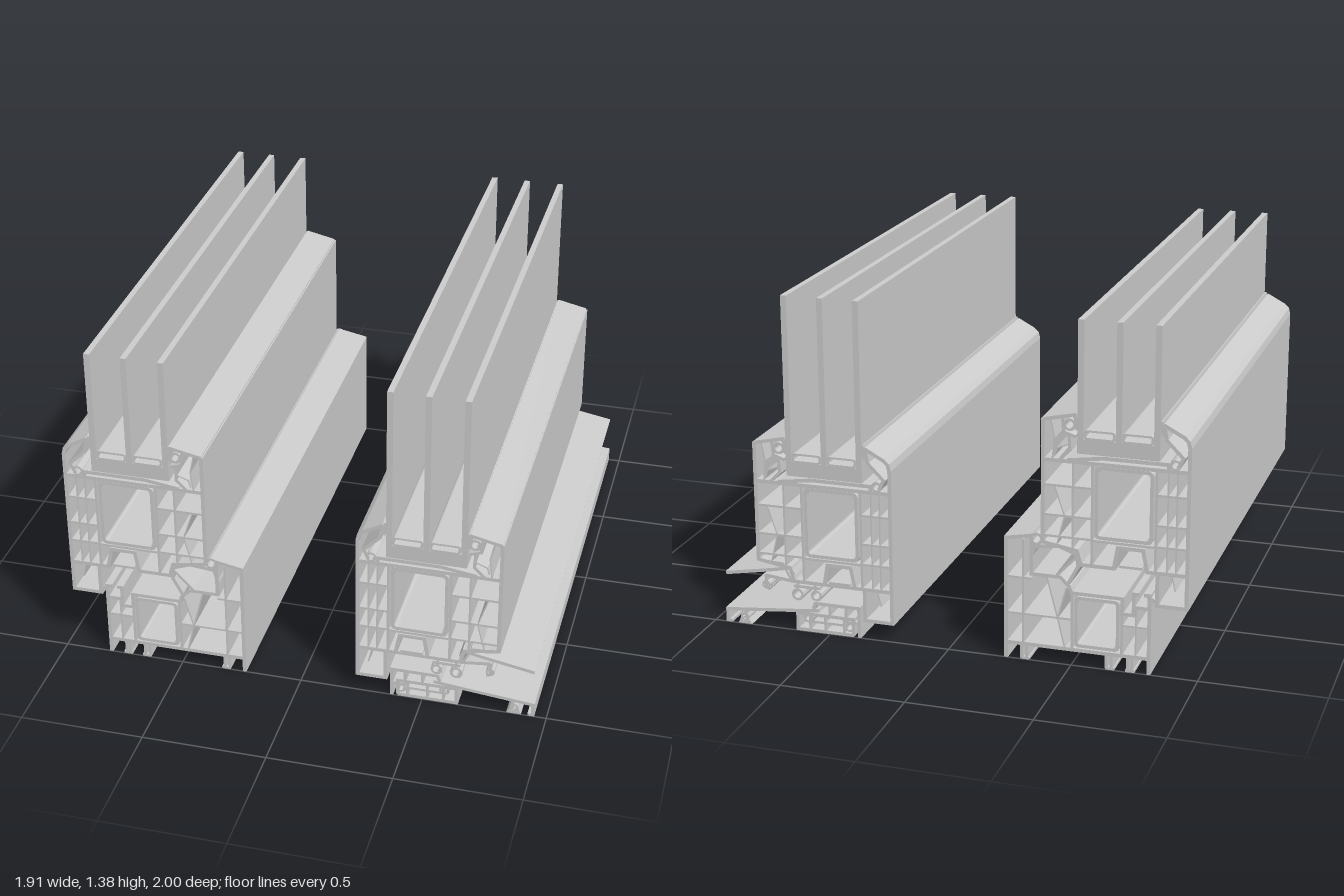
import * as THREE from 'three';

const LENGTH = 2;
const material = new THREE.MeshStandardMaterial({ color: 0xcccccc });
const V = (x, y) => new THREE.Vector2(x, y);

// Flat coordinate list -> points
function toPoints(c) {
  const p = [];
  for (let i = 0; i < c.length; i += 2) p.push(V(c[i], c[i + 1]));
  return p;
}

function extrude(parent, name, shape) {
  const g = new THREE.ExtrudeGeometry(shape, { depth: LENGTH, bevelEnabled: false, curveSegments: 6 });
  g.translate(0, 0, -LENGTH / 2);
  const m = new THREE.Mesh(g, material);
  m.name = name;
  parent.add(m);
}

// Wall of thickness t following an open centre line, with mitred corners
function wall(parent, name, t, coords) {
  const p = toPoints(coords);
  const a = [], b = [];
  p.forEach((q, i) => {
    const d0 = p[Math.max(i, 1)].clone().sub(p[Math.max(i, 1) - 1]).normalize();
    const j = Math.min(i + 1, p.length - 1);
    const d1 = p[j].clone().sub(p[j - 1]).normalize();
    const n0 = V(-d0.y, d0.x), n1 = V(-d1.y, d1.x);
    const n = n0.clone().add(n1).normalize();
    n.multiplyScalar(t / 2 / Math.max(0.5, n.dot(n0)));
    a.push(q.clone().add(n));
    b.push(q.clone().sub(n));
  });
  extrude(parent, name, new THREE.Shape([...a, ...b.reverse()]));
}

const solid = (parent, name, coords) => extrude(parent, name, new THREE.Shape(toPoints(coords)));
const box = (parent, name, x0, x1, y0, y1) => solid(parent, name, [x0, y0, x1, y0, x1, y1, x0, y1]);

function roundRect(path, x0, x1, y0, y1, r) {
  path.moveTo(x0 + r, y0).lineTo(x1 - r, y0).quadraticCurveTo(x1, y0, x1, y0 + r);
  path.lineTo(x1, y1 - r).quadraticCurveTo(x1, y1, x1 - r, y1);
  path.lineTo(x0 + r, y1).quadraticCurveTo(x0, y1, x0, y1 - r);
  path.lineTo(x0, y0 + r).quadraticCurveTo(x0, y0, x0 + r, y0);
  return path;
}

// Hollow rounded rectangular tube
function hollow(parent, name, x0, x1, y0, y1, t, r) {
  const s = roundRect(new THREE.Shape(), x0, x1, y0, y1, r);
  s.holes.push(roundRect(new THREE.Path(), x0 + t, x1 - t, y0 + t, y1 - t, r * 0.6));
  extrude(parent, name, s);
}

// Tubular seal
function tubeSeal(parent, name, x, y, r) {
  const s = new THREE.Shape().absarc(x, y, r, 0, Math.PI * 2);
  s.holes.push(new THREE.Path().absarc(x, y, r * 0.6, 0, Math.PI * 2, true));
  extrude(parent, name, s);
}

// T-shaped clip foot standing on the ground
function foot(parent, x, h) {
  wall(parent, 'clipFoot', 0.012, [x, h, x, 0.005]);
  box(parent, 'clipFoot', x - 0.012, x + 0.024, 0, 0.01);
}

// Sash with triple glazing
function sash(glassTop) {
  const g = new THREE.Group();
  g.name = 'sash';
  // outer walls
  wall(g, 'outerWall', 0.015, [-0.835, 0.42, -0.835, 0.288, -0.949, 0.288, -0.949, 0.925, -0.943, 0.95,
    -0.925, 0.967, -0.9, 0.98, -0.848, 1.008]);
  wall(g, 'innerWall', 0.015, [-0.384, 0.49, -0.384, 0.99]);
  wall(g, 'bottomWall', 0.015, [-0.949, 0.42, -0.795, 0.42, -0.778, 0.505, -0.68, 0.505, -0.665, 0.42,
    -0.535, 0.42, -0.52, 0.475, -0.384, 0.497]);
  wall(g, 'topWall', 0.015, [-0.949, 0.83, -0.384, 0.83]);
  wall(g, 'rebateWall', 0.015, [-0.87, 0.83, -0.87, 0.855, -0.62, 0.855, -0.48, 0.835]);
  wall(g, 'rebateLip', 0.014, [-0.852, 1.0, -0.86, 0.95, -0.925, 0.885, -0.905, 0.845]);
  // glazing bead
  wall(g, 'glazingBead', 0.014, [-0.515, 0.99, -0.505, 1.015, -0.384, 0.988]);
  wall(g, 'glazingBead', 0.012, [-0.51, 0.93, -0.465, 0.945, -0.46, 1.0]);
  wall(g, 'glazingBead', 0.012, [-0.485, 0.94, -0.49, 0.875, -0.45, 0.835]);
  wall(g, 'beadWeb', 0.005, [-0.415, 0.99, -0.43, 0.92, -0.42, 0.83]);
  wall(g, 'beadWeb', 0.005, [-0.49, 0.9, -0.44, 0.88, -0.43, 0.85]);
  tubeSeal(g, 'beadSeal', -0.488, 0.975, 0.025);
  tubeSeal(g, 'rebateSeal', -0.895, 0.855, 0.022);
  wall(g, 'glassSeal', 0.014, [-0.838, 1.02, -0.848, 0.965]);
  wall(g, 'glassSeal', 0.014, [-0.508, 1.02, -0.518, 0.955]);
  // chamber webs
  for (const y of [0.525, 0.61, 0.73]) {
    wall(g, 'chamberWeb', 0.009, [-0.949, y, -0.82, y]);
    wall(g, 'chamberWeb', 0.009, [-0.585, y, -0.384, y]);
  }
  for (const x of [-0.905, -0.87]) wall(g, 'chamberWeb', 0.006, [x, 0.42, x, 0.83]);
  wall(g, 'chamberWeb', 0.01, [-0.826, 0.42, -0.826, 0.83]);
  wall(g, 'chamberWeb', 0.01, [-0.578, 0.42, -0.578, 0.83]);
  wall(g, 'chamberWeb', 0.008, [-0.502, 0.475, -0.502, 0.83]);
  wall(g, 'chamberWeb', 0.005, [-0.43, 0.73, -0.47, 0.61, -0.44, 0.49]);
  wall(g, 'chamberWeb', 0.01, [-0.82, 0.522, -0.585, 0.522]);
  wall(g, 'chamberWeb', 0.005, [-0.89, 0.42, -0.905, 0.355]);
  wall(g, 'hardwareGroove', 0.01, [-0.775, 0.43, -0.685, 0.43]);
  hollow(g, 'steelReinforcement', -0.815, -0.587, 0.53, 0.822, 0.014, 0.025);
  // glazing unit
  for (const x of [-0.824, -0.678, -0.53]) box(g, 'glassPane', x - 0.012, x + 0.012, 0.9, glassTop);
  for (const x of [-0.751, -0.604]) {
    hollow(g, 'glassSpacer', x - 0.06, x + 0.06, 0.922, 0.96, 0.008, 0.012);
    box(g, 'edgeSealant', x - 0.062, x + 0.062, 0.9, 0.923);
  }
  box(g, 'glazingBlock', -0.836, -0.518, 0.865, 0.902);
  return g;
}

// Fixed frame under the tall sash
function fixedFrame() {
  const g = new THREE.Group();
  g.name = 'fixedFrame';
  wall(g, 'outerWall', 0.015, [-0.807, 0, -0.807, 0.325, -0.785, 0.325]);
  wall(g, 'innerWall', 0.015, [-0.237, 0, -0.237, 0.497, -0.345, 0.518]);
  wall(g, 'bottomWall', 0.015, [-0.807, 0.065, -0.237, 0.065]);
  wall(g, 'topWall', 0.014, [-0.807, 0.27, -0.755, 0.27, -0.745, 0.238, -0.7, 0.238, -0.7, 0.3, -0.5, 0.3,
    -0.49, 0.325, -0.455, 0.36, -0.34, 0.36, -0.34, 0.51]);
  wall(g, 'grooveLip', 0.014, [-0.745, 0.24, -0.745, 0.325, -0.765, 0.325]);
  wall(g, 'chamberWeb', 0.01, [-0.7, 0.3, -0.7, 0.065]);
  wall(g, 'chamberWeb', 0.01, [-0.502, 0.3, -0.502, 0.065]);
  wall(g, 'chamberWeb', 0.008, [-0.307, 0.5, -0.307, 0.065]);
  wall(g, 'chamberWeb', 0.006, [-0.755, 0.27, -0.755, 0.065]);
  wall(g, 'chamberWeb', 0.008, [-0.807, 0.19, -0.7, 0.19]);
  wall(g, 'chamberWeb', 0.008, [-0.502, 0.19, -0.237, 0.19]);
  wall(g, 'chamberWeb', 0.008, [-0.34, 0.34, -0.237, 0.34]);
  wall(g, 'chamberWeb', 0.006, [-0.48, 0.32, -0.445, 0.19, -0.475, 0.065]);
  wall(g, 'chamberWeb', 0.006, [-0.4, 0.36, -0.445, 0.19]);
  hollow(g, 'steelReinforcement', -0.69, -0.512, 0.078, 0.288, 0.013, 0.02);
  // compression seals
  wall(g, 'centreSeal', 0.014, [-0.48, 0.325, -0.525, 0.41, -0.52, 0.46, -0.45, 0.485, -0.35, 0.475, -0.335, 0.42]);
  wall(g, 'centreSeal', 0.01, [-0.52, 0.45, -0.44, 0.365]);
  tubeSeal(g, 'innerSeal', -0.36, 0.505, 0.026);
  wall(g, 'outerSeal', 0.014, [-0.8, 0.32, -0.835, 0.3]);
  for (const x of [-0.74, -0.66, -0.32]) foot(g, x, 0.065);
  wall(g, 'clipFoot', 0.012, [-0.725, 0.06, -0.725, 0.005]);
  wall(g, 'clipFoot', 0.012, [-0.3, 0.06, -0.3, 0.005]);
  wall(g, 'clipFoot', 0.012, [-0.64, 0.06, -0.64, 0.005]);
  return g;
}

// Low threshold with sloped sill and drip rail
function threshold() {
  const g = new THREE.Group();
  g.name = 'threshold';
  // insulated core
  wall(g, 'coreShell', 0.014, [0.4, 0.007, 0.638, 0.007, 0.638, 0.075, 0.4, 0.075, 0.4, 0.007]);
  wall(g, 'coreLip', 0.014, [0.375, 0, 0.375, 0.125, 0.56, 0.125, 0.57, 0.1]);
  wall(g, 'coreLip', 0.012, [0.375, 0.06, 0.43, 0.06, 0.43, 0.125]);
  for (const x of [0.44, 0.52, 0.585]) wall(g, 'coreWeb', 0.01, [x, 0.007, x, 0.075]);
  wall(g, 'coreWeb', 0.01, [0.44, 0.045, 0.585, 0.045]);
  wall(g, 'coreWeb', 0.01, [0.5, 0.075, 0.5, 0.125]);
  tubeSeal(g, 'coreRib', 0.415, 0.04, 0.02);
  tubeSeal(g, 'coreRib', 0.59, 0.06, 0.022);
  // sill plate
  wall(g, 'sillPlate', 0.014, [0.545, 0.095, 0.64, 0.085, 0.945, 0.055, 0.945, 0]);
  wall(g, 'sillLip', 0.012, [0.945, 0.006, 0.925, 0.006]);
  wall(g, 'sillFoot', 0.012, [0.865, 0.06, 0.865, 0.03, 0.85, 0.006, 0.89, 0.006, 0.88, 0.03]);
  tubeSeal(g, 'sillRib', 0.87, 0.03, 0.018);
  // seals under the sash
  tubeSeal(g, 'lowerSeal', 0.555, 0.158, 0.024);
  tubeSeal(g, 'lowerSeal', 0.635, 0.155, 0.026);
  wall(g, 'sealStem', 0.012, [0.54, 0.19, 0.65, 0.19]);
  wall(g, 'sealStem', 0.01, [0.56, 0.18, 0.56, 0.215]);
  wall(g, 'sealStem', 0.01, [0.635, 0.18, 0.635, 0.215]);
  // drip rail
  wall(g, 'railBase', 0.014, [0.39, 0.21, 0.66, 0.21, 0.77, 0.222]);
  wall(g, 'railBase', 0.012, [0.77, 0.225, 0.77, 0.17, 0.755, 0.165]);
  wall(g, 'railBase', 0.01, [0.66, 0.21, 0.695, 0.28, 0.8, 0.285]);
  wall(g, 'dripRail', 0.014, [0.65, 0.235, 0.665, 0.265, 0.735, 0.25, 0.945, 0.212]);
  tubeSeal(g, 'railSeal', 0.77, 0.182, 0.018);
  return g;
}

export function createModel() {
  const model = new THREE.Group();
  model.name = 'windowSections';
  const tall = sash(1.385);
  tall.name = 'tallSash';
  const low = sash(1.595);
  low.name = 'thresholdSash';
  low.position.set(1.184, -0.21, 0);
  model.add(tall, fixedFrame(), low, threshold());
  return model;
}
